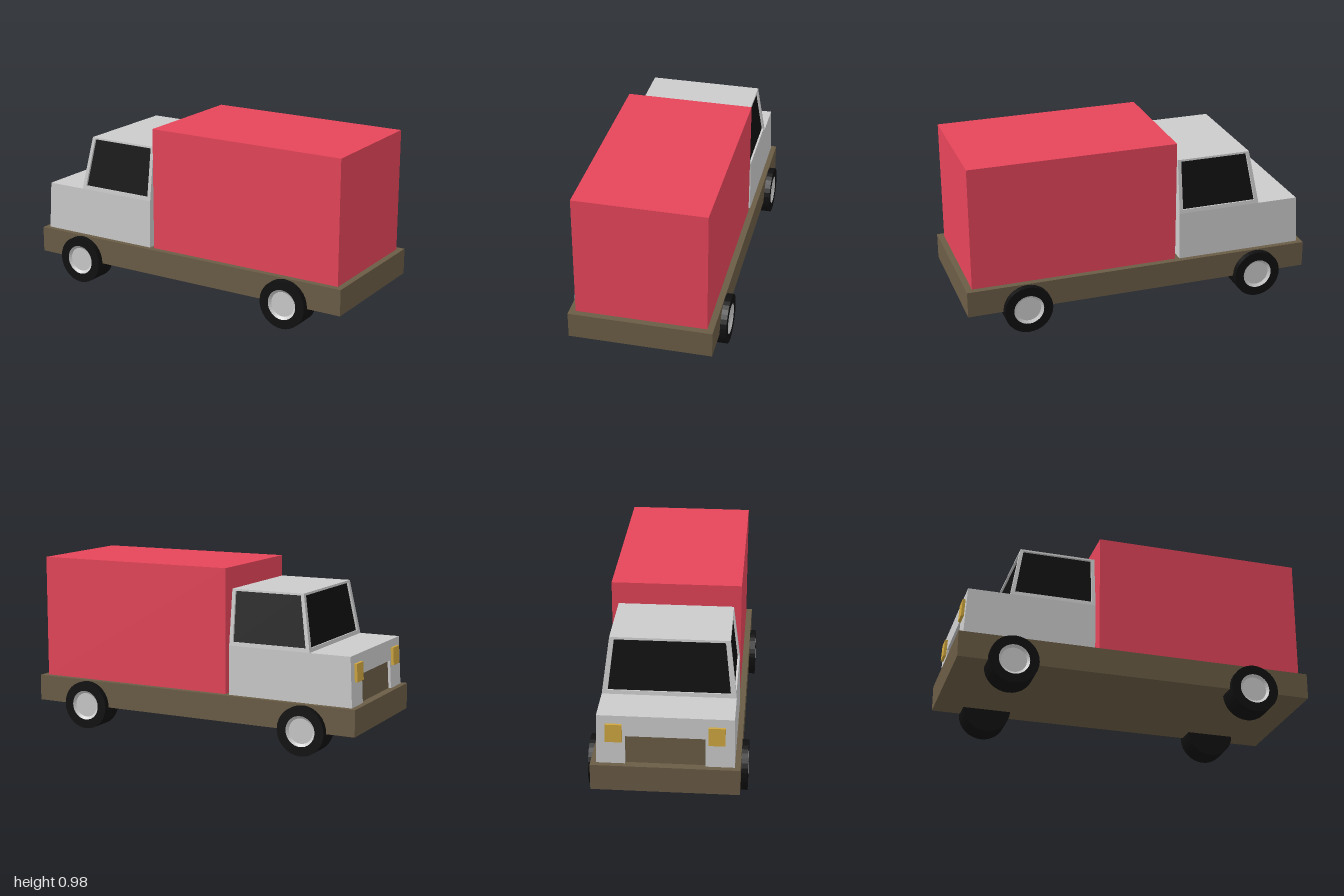
import * as THREE from 'three';

const mat = (color) => new THREE.MeshStandardMaterial({ color, flatShading: true });
const grey = mat(0xcccccc), red = mat(0xe6455a), brown = mat(0x6b5d46);
const black = mat(0x101010), amber = mat(0xd0a840);

function add(parent, name, geometry, material, x = 0, y = 0, z = 0) {
  const mesh = new THREE.Mesh(geometry, material);
  mesh.name = name;
  mesh.position.set(x, y, z);
  parent.add(mesh);
  return mesh;
}

// Geometry from a list of quads, each counter-clockwise seen from outside
function quads(list) {
  const pos = [];
  for (const [a, b, c, d] of list)
    for (const p of [a, b, c, a, c, d]) pos.push(p.x, p.y, p.z);
  const g = new THREE.BufferGeometry();
  g.setAttribute('position', new THREE.Float32BufferAttribute(pos, 3));
  g.computeVertexNormals();
  return g;
}

// Wall with a recessed pane; corners run bottom left, bottom right, top right, top left
function framedPanel(parent, name, corners, [u0, u1, v0, v1], depth, paneName, paneMaterial) {
  const [bl, br, tr, tl] = corners;
  const at = (u, v) => bl.clone().lerp(br, u).lerp(tl.clone().lerp(tr, u), v);
  const normal = br.clone().sub(bl).cross(tl.clone().sub(bl)).normalize();
  const hole = [at(u0, v0), at(u1, v0), at(u1, v1), at(u0, v1)];
  const pane = hole.map((p) => p.clone().addScaledVector(normal, -depth));
  const frame = [];
  for (let i = 0; i < 4; i++) {
    const j = (i + 1) % 4;
    frame.push([corners[i], corners[j], hole[j], hole[i]]);
    frame.push([hole[i], hole[j], pane[j], pane[i]]);
  }
  add(parent, name, quads(frame), grey);
  add(parent, paneName, quads([pane]), paneMaterial);
}

function createCab() {
  const cab = new THREE.Group();
  cab.name = 'cab';
  // Side profile points, with the half width at each
  const profile = {
    noseBottom: [-0.97, 0.28, 0.365], noseTop: [-0.955, 0.555, 0.36],
    screenBase: [-0.72, 0.555, 0.36], roofFront: [-0.665, 0.865, 0.32],
    roofRear: [-0.237, 0.865, 0.32], waistRear: [-0.238, 0.555, 0.36],
    rearBottom: [-0.24, 0.28, 0.365],
  };
  const P = (key, side) => {
    const [x, y, z] = profile[key];
    return new THREE.Vector3(x, y, z * side);
  };
  // Strip across the cab between two profile points
  const across = (low, high) => [P(low, -1), P(low, 1), P(high, 1), P(high, -1)];

  const shell = [
    across('noseTop', 'screenBase'), across('roofFront', 'roofRear'),
    across('roofRear', 'waistRear'), across('waistRear', 'rearBottom'),
  ];
  for (const side of [1, -1]) {
    const lower = ['noseBottom', 'rearBottom', 'waistRear', 'noseTop'].map((k) => P(k, side));
    const upper = ['screenBase', 'waistRear', 'roofRear', 'roofFront'].map((k) => P(k, side));
    let opening = [0.045, 0.955, 0.07, 0.965];
    if (side < 0) {
      lower.reverse();
      [upper[0], upper[1], upper[2], upper[3]] = [upper[1], upper[0], upper[3], upper[2]];
    }
    shell.push(lower);
    const label = side > 0 ? 'left' : 'right';
    framedPanel(cab, label + 'WindowFrame', upper, opening, 0.012, label + 'Window', black);
  }
  add(cab, 'cabShell', quads(shell), grey);
  framedPanel(cab, 'windshieldFrame', across('screenBase', 'roofFront'),
    [0.04, 0.96, 0.07, 0.96], 0.012, 'windshield', black);
  framedPanel(cab, 'nose', across('noseBottom', 'noseTop'),
    [0.21, 0.79, 0, 0.58], 0.015, 'grille', brown);

  // Headlights, tilted with the nose
  for (const side of [1, -1]) {
    const lamp = add(cab, 'headlight', new THREE.BoxGeometry(0.018, 0.1, 0.088), amber,
      -0.967, 0.46, 0.27 * side);
    lamp.rotation.z = -0.055;
  }
  return cab;
}

function createWheel(x, side) {
  const wheel = new THREE.Group();
  wheel.name = 'wheel';
  const lathe = (pts) => new THREE.LatheGeometry(pts.map(([r, h]) => new THREE.Vector2(r, h)), 32);
  // Tyre closed on its inner face, with a dished hubcap outside
  add(wheel, 'tyre', lathe([[0, -0.07], [0.137, -0.07], [0.137, 0.07], [0.085, 0.07]]), black);
  add(wheel, 'hubcap', lathe([[0.085, 0.07], [0.07, 0.058], [0, 0.058]]), grey);
  wheel.rotation.x = side * Math.PI / 2;
  wheel.position.set(x, 0.138, 0.36 * side);
  return wheel;
}

export function createModel() {
  const truck = new THREE.Group();
  truck.name = 'boxTruck';
  add(truck, 'chassis', new THREE.BoxGeometry(2, 0.148, 0.79), brown, 0, 0.206, 0);
  add(truck, 'cargoBox', new THREE.BoxGeometry(1.18, 0.7, 0.72), red, 0.375, 0.63, 0);
  truck.add(createCab());
  for (const x of [-0.7, 0.665])
    for (const side of [1, -1]) truck.add(createWheel(x, side));
  return truck;
}
